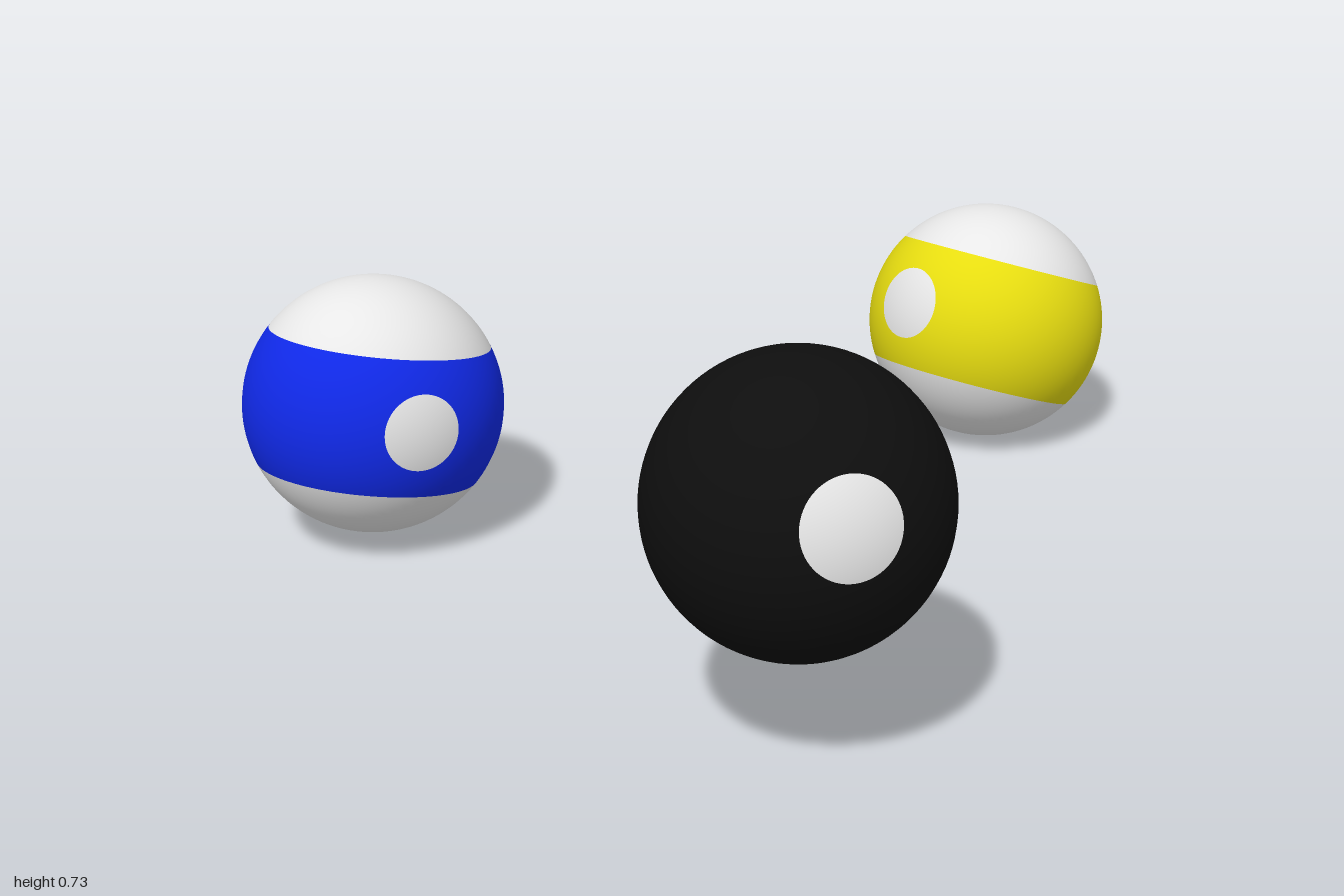
import * as THREE from 'three';

const R = 0.2635;                          // ball radius
const CAP = THREE.MathUtils.degToRad(58.3); // polar angle where the stripe begins

function material(name, color) {
  const m = new THREE.MeshStandardMaterial({ color });
  m.name = name;
  return m;
}

// Zone of a sphere between two polar angles
function zone(radius, from, to, rows) {
  return new THREE.SphereGeometry(radius, 64, rows, 0, Math.PI * 2, from, to - from);
}

function part(parent, name, geometry, mat) {
  const mesh = new THREE.Mesh(geometry, mat);
  mesh.name = name;
  parent.add(mesh);
  return mesh;
}

export function createModel() {
  const model = new THREE.Group();
  model.name = 'billiardBalls';

  const white = material('white', 0xececec);
  const yellow = material('yellow', 0xe8de10);
  const blue = material('blue', 0x1029e8);
  const black = material('black', 0x0e0e0e);

  // axis: pole of the ball; spot: direction of the first white spot
  const balls = [
    { name: 'blueStripedBall', mat: blue, striped: true, spotAngle: 17,
      at: [-0.637, 0.286, 0.548], axis: [0, 0.98, -0.2], spot: [0.938, 0.07, 0.335] },
    { name: 'yellowStripedBall', mat: yellow, striped: true, spotAngle: 17.2,
      at: [-0.019, 0.266, -0.7365], axis: [0.03, 0.94, -0.345], spot: [-0.173, 0.354, 0.92] },
    { name: 'blackSolidBall', mat: black, striped: false, spotAngle: 19.2,
      at: [0.634, 0.466, 0.7365], axis: [0, 1, 0], spot: [0.84, 0.213, 0.5] },
  ];

  for (const b of balls) {
    const ball = new THREE.Group();
    ball.name = b.name;

    if (b.striped) {
      // Coloured band between two white caps
      part(ball, 'stripe', zone(R, CAP, Math.PI - CAP, 24), b.mat);
      part(ball, 'topCap', zone(R, 0, CAP, 20), white);
      part(ball, 'bottomCap', zone(R, Math.PI - CAP, Math.PI, 20), white);
    } else {
      part(ball, 'body', zone(R, 0, Math.PI, 48), b.mat);
    }

    // White spots on opposite sides, thin shells just above the surface
    const spotGeometry = zone(R + 0.001, 0, THREE.MathUtils.degToRad(b.spotAngle), 8);
    spotGeometry.rotateX(Math.PI / 2);
    part(ball, 'frontSpot', spotGeometry, white);
    part(ball, 'backSpot', spotGeometry, white).rotation.y = Math.PI;

    // Turn the ball so that y follows its axis and z points at the spot
    const z = new THREE.Vector3(...b.spot).normalize();
    const x = new THREE.Vector3(...b.axis).cross(z).normalize();
    const y = new THREE.Vector3().crossVectors(z, x);
    ball.quaternion.setFromRotationMatrix(new THREE.Matrix4().makeBasis(x, y, z));
    ball.position.set(...b.at);
    model.add(ball);
  }
  return model;
}
